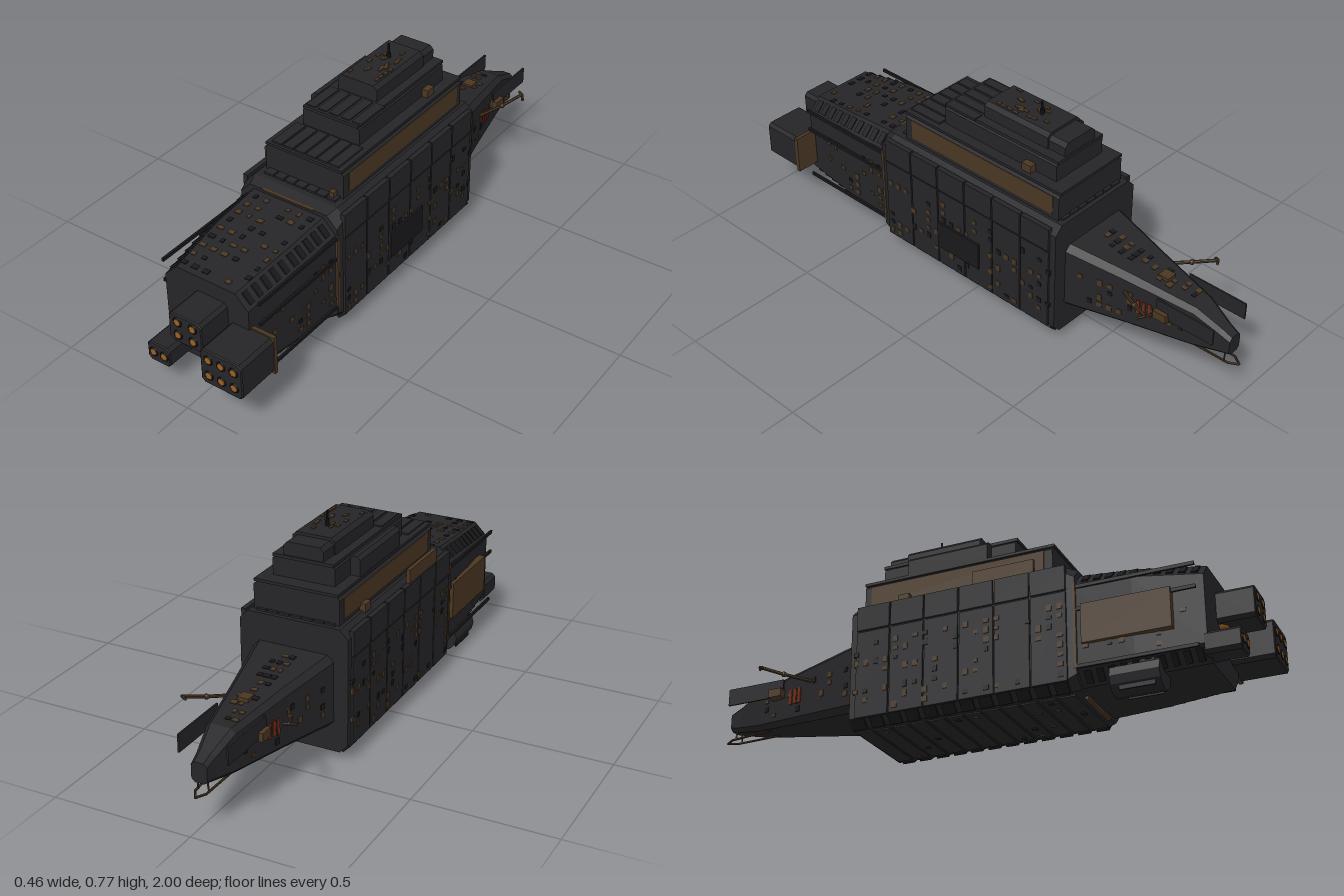
import * as THREE from 'three';
import { mergeGeometries } from 'three/addons/utils/BufferGeometryUtils.js';

const mat = (color) => new THREE.MeshStandardMaterial({ color, flatShading: true, side: THREE.DoubleSide });
const CX = -0.022; // hull centre line

// Small seeded generator for window placement
let seed = 7;
const rnd = () => (seed = (seed * 16807) % 2147483647) / 2147483647;

// Chamfered cross-sections [z, x0, x1, y0, y1, topChamfer, bottomChamfer], back to front
function loft(sections) {
  const rings = sections.map(([z, x0, x1, y0, y1, t, b = t]) => [
    [x1, y0 + b, z], [x1, y1 - t, z], [x1 - t, y1, z], [x0 + t, y1, z],
    [x0, y1 - t, z], [x0, y0 + b, z], [x0 + b, y0, z], [x1 - b, y0, z]]);
  const p = [];
  for (let i = 0; i + 1 < rings.length; i++) for (let j = 0; j < 8; j++) {
    const k = (j + 1) % 8, a = rings[i][j], b = rings[i][k], c = rings[i + 1][k], d = rings[i + 1][j];
    p.push(...a, ...b, ...c, ...a, ...c, ...d);
  }
  const r0 = rings[0], r1 = rings[rings.length - 1];
  for (let j = 1; j < 7; j++) {
    p.push(...r1[0], ...r1[j], ...r1[j + 1]);
    p.push(...r0[0], ...r0[j + 1], ...r0[j]);
  }
  const g = new THREE.BufferGeometry();
  g.setAttribute('position', new THREE.Float32BufferAttribute(p, 3));
  g.computeVertexNormals();
  return g;
}

// Interpolated cross-section at z
function at(sections, z) {
  let i = 0;
  while (i < sections.length - 2 && z > sections[i + 1][0]) i++;
  const a = sections[i], b = sections[i + 1], t = (z - a[0]) / (b[0] - a[0]);
  const s = a.map((v, n) => v + (b[n] - v) * t);
  const slope = a.map((v, n) => (b[n] - v) / (b[0] - a[0]));
  return { s, slope };
}

const block = (x0, x1, y0, y1, z0, z1) =>
  new THREE.BoxGeometry(x1 - x0, y1 - y0, z1 - z0).translate((x0 + x1) / 2, (y0 + y1) / 2, (z0 + z1) / 2);

// Box lying on a hull face: side -1 / 1 for the flanks, 0 for the top, 2 for the bottom
function onHull(sections, side, z, u, h, l, thick = 0.005) {
  const { s, slope } = at(sections, z);
  if (side === 0 || side === 2) {
    const n = side === 0 ? 4 : 3;
    return new THREE.BoxGeometry(h, thick, l).rotateX(-Math.atan(slope[n])).translate(u, s[n], z);
  }
  const n = side < 0 ? 1 : 2;
  return new THREE.BoxGeometry(thick, h, l).rotateY(Math.atan(slope[n])).translate(s[n], u, z);
}

function rod(a, b, r) {
  const A = new THREE.Vector3(...a), B = new THREE.Vector3(...b), d = B.clone().sub(A);
  const g = new THREE.CylinderGeometry(r, r, d.length(), 8);
  g.applyQuaternion(new THREE.Quaternion().setFromUnitVectors(new THREE.Vector3(0, 1, 0), d.normalize()));
  return g.translate(...A.add(B).multiplyScalar(0.5).toArray());
}

// Joins pieces into one geometry with matching attributes
function join(pieces) {
  return mergeGeometries(pieces.map((g) => (g.index ? g.toNonIndexed() : g).deleteAttribute('uv')));
}

export function createModel() {
  const ship = new THREE.Group();
  seed = 7;
  const hull = mat(0x252528), dark = mat(0x19191b), brown = mat(0x4a3723), amber = mat(0x9a6024), red = mat(0x6e2a16);
  const add = (name, geos, m) => {
    const mesh = new THREE.Mesh(Array.isArray(geos) ? join(geos) : geos, m);
    mesh.name = name;
    ship.add(mesh);
  };

  // Main hull sections
  const mid = [[-0.385, -0.22, 0.176, 0.032, 0.475, 0.03], [0.39, -0.22, 0.176, 0.032, 0.475, 0.03],
    [0.43, -0.217, 0.173, 0.04, 0.462, 0.04]];
  const bow = [[0.42, -0.212, 0.168, 0.05, 0.45, 0.05], [0.62, -0.208, 0.164, 0.058, 0.435, 0.05],
    [0.85, -0.188, 0.144, 0.07, 0.406, 0.05]];
  const tail = [[-0.97, -0.05, 0.006, 0.18, 0.25, 0.012], [-0.93, -0.055, 0.011, 0.17, 0.268, 0.014],
    [-0.84, -0.074, 0.03, 0.155, 0.312, 0.016], [-0.6, -0.122, 0.078, 0.137, 0.348, 0.02],
    [-0.38, -0.17, 0.126, 0.12, 0.378, 0.022]];
  add('midHull', loft(mid), hull);
  add('bowHull', loft(bow), hull);
  add('tailHull', loft(tail), hull);

  // Side armour plates, in rows with narrow gaps
  const plates = [];
  for (const side of [-1, 1]) {
    for (let i = 0; i < 6; i++) {
      const z = -0.3 + i * 0.128;
      plates.push(onHull(mid, side, z, 0.216, 0.312, 0.122, 0.014));
      plates.push(onHull(mid, side, z, 0.422, 0.088, 0.122, 0.018));
    }
  }
  add('sidePlates', plates, hull);
  add('sideHatch', block(0.176, 0.19, 0.135, 0.24, -0.05, 0.145), dark);

  // Deck planks on the top, panels and ribs along the lower edge
  const planks = [], ribs = [];
  for (let i = 0; i < 7; i++) planks.push(block(-0.165 + i * 0.042, -0.129 + i * 0.042, 0.47, 0.482, -0.37, 0.37));
  for (let i = 0; i < 12; i++) {
    const z = -0.35 + i * 0.066;
    planks.push(block(-0.17, 0.126, 0.028, 0.036, z - 0.028, z + 0.028));
    for (const s of [-1, 1])
      ribs.push(new THREE.BoxGeometry(0.04, 0.012, 0.045).rotateZ(s * Math.PI / 4).translate(CX + s * 0.184, 0.046, z));
  }
  for (let i = 0; i < 10; i++) {
    const z = 0.46 + i * 0.04, { s } = at(bow, z);
    for (const k of [-1, 1]) for (const top of [-1, 1]) {
      const x = (k < 0 ? s[1] : s[2]) - k * 0.025, y = (top < 0 ? s[3] : s[4]) - top * 0.025;
      ribs.push(new THREE.BoxGeometry(0.045, 0.01, 0.022).rotateZ(-k * top * Math.PI / 4).translate(x, y, z));
    }
  }
  add('deckPanels', planks, hull);
  add('chamferRibs', ribs, dark);
  add('frameTrim', [block(-0.125, 0.08, 0.459, 0.464, 0.42, 0.434), block(-0.125, 0.08, 0.03, 0.04, 0.42, 0.432),
    ...[-1, 1].map((s) => block(CX + s * 0.194 - 0.004, CX + s * 0.194 + 0.004, 0.1, 0.4, 0.422, 0.432))], brown);

  // Long side rails beside the bow
  add('sideRails', [-1, 1].flatMap((s) => [0.1, 0.3, 0.38].map((y) =>
    block(CX + s * 0.192 - 0.004, CX + s * 0.192 + 0.004, y, y + 0.012, 0.42, 0.83))), dark);

  // Stepped superstructure
  const tier = (x0, x1, y0, y1, z0, z1, c) => loft([[z0, x0, x1, y0, y1, c, 0.003], [z1, x0, x1, y0, y1, c, 0.003]]);
  add('lowerTier', [tier(-0.178, 0.136, 0.47, 0.58, -0.36, 0.34, 0.018), block(-0.174, 0.132, 0.574, 0.584, -0.365, 0.345)], hull);
  add('tierBands', [-1, 1].map((s) => block(CX + s * 0.156 - 0.004, CX + s * 0.156 + 0.004, 0.49, 0.562, -0.335, 0.31)), brown);
  add('middleTier', [tier(-0.135, 0.092, 0.58, 0.655, -0.31, 0.19, 0.012), tier(-0.17, -0.13, 0.58, 0.652, -0.2, 0.1, 0.012),
    block(-0.132, 0.089, 0.65, 0.661, -0.315, 0.195)], hull);
  add('upperTier', [tier(-0.1, 0.057, 0.655, 0.718, -0.24, 0.04, 0.014), tier(-0.095, 0.052, 0.655, 0.708, -0.31, -0.23, 0.014)], hull);
  const roof = [];
  for (let i = 0; i < 6; i++) {
    const x = -0.155 + i * 0.046;
    roof.push(block(x, x + 0.038, 0.58, 0.59, 0.2, 0.335));
    if (i < 5) roof.push(block(x + 0.03, x + 0.066, 0.656, 0.665, 0.05, 0.185));
  }
  add('roofPanels', roof, hull);
  add('roofBoxes', [block(0.09, 0.116, 0.58, 0.612, -0.22, -0.18), block(-0.2, -0.175, 0.47, 0.5, -0.22, -0.18),
    block(0.092, 0.11, 0.47, 0.5, 0.335, 0.36)], brown);
  const roofLights = [];
  for (let i = 0; i < 20; i++) {
    const x = -0.08 + rnd() * 0.115, z = -0.21 + rnd() * 0.22;
    roofLights.push(block(x, x + 0.01, 0.716, 0.7215, z, z + 0.02));
  }
  add('roofLights', roofLights, brown);
  add('mast', [rod([CX, 0.715, -0.145], [CX, 0.77, -0.145], 0.004), rod([CX, 0.715, -0.145], [CX, 0.735, -0.145], 0.008)], dark);

  // Large plates on the right flank
  add('flankPanels', [block(-0.225, -0.2, 0.18, 0.317, 0.45, 0.75), block(-0.224, -0.21, 0.42, 0.515, 0.07, 0.29)], brown);

  // Windows and hatches scattered over a grid on each hull face
  const windows = [], hatches = [];
  const scatter = (sec, side, z0, z1, u0, u1, dz, du, density, lift) => {
    for (let z = z0; z <= z1; z += dz) for (let u = u0; u <= u1; u += du) {
      const r = rnd();
      if (r < density) (r < density * 0.6 ? windows : hatches).push(
        onHull(sec, side, z, u, 0.012 + rnd() * 0.012, 0.014 + rnd() * 0.006, lift));
    }
  };
  for (const s of [-1, 1]) {
    scatter(mid, s, -0.36, 0.38, 0.085, 0.35, 0.037, 0.034, 0.4, 0.019);
    scatter(bow, s, 0.46, 0.82, 0.14, 0.34, 0.04, 0.034, 0.35, 0.006);
    scatter(tail, s, -0.8, -0.42, 0.19, 0.29, 0.036, 0.03, 0.4, 0.006);
  }
  scatter(bow, 0, 0.46, 0.83, -0.13, 0.09, 0.045, 0.044, 0.75, 0.006);
  scatter(tail, 0, -0.8, -0.42, -0.05, 0.01, 0.04, 0.026, 0.6, 0.006);
  scatter(mid, 2, -0.35, 0.38, -0.14, 0.1, 0.066, 0.06, 0.25, 0.012);
  add('windows', windows, brown);
  add('hatches', hatches, dark);

  // Engine blocks: [x0, x1, y0, y1, front z, columns, rows, pitch x, pitch y]
  const engines = [[-0.068, 0.062, 0.24, 0.35, 0.98, 2, 2, 0.06, 0.05],
    [0.068, 0.23, 0.15, 0.285, 1.0, 3, 2, 0.049, 0.061], [-0.19, -0.097, 0.084, 0.16, 0.96, 2, 1, 0.043, 0]];
  const cases = [], collars = [], nozzles = [];
  for (const [x0, x1, y0, y1, z, nx, ny, px, py] of engines) {
    cases.push(loft([[0.84, x0, x1, y0, y1, 0.012], [z - 0.006, x0, x1, y0, y1, 0.012],
      [z - 0.003, x0 + 0.004, x1 - 0.004, y0 + 0.004, y1 - 0.004, 0.01]]));
    for (let i = 0; i < nx; i++) for (let j = 0; j < ny; j++) {
      const x = (x0 + x1) / 2 + (i - (nx - 1) / 2) * px, y = (y0 + y1) / 2 + (j - (ny - 1) / 2) * py;
      collars.push(new THREE.TorusGeometry(0.015, 0.003, 6, 16).translate(x, y, z - 0.003));
      nozzles.push(new THREE.CylinderGeometry(0.012, 0.012, 0.006, 16).rotateX(Math.PI / 2).translate(x, y, z - 0.003));
    }
  }
  add('engineBlocks', cases, hull);
  add('nozzleCollars', collars, dark);
  add('nozzles', nozzles, amber);
  add('engineMount', block(0.1, 0.233, 0.146, 0.29, 0.828, 0.842), brown);
  add('bowLamp', new THREE.SphereGeometry(0.028, 16, 10).translate(CX, 0.25, 0.85), amber);

  // Slung tank under the bow
  add('tank', new THREE.CylinderGeometry(0.056, 0.056, 0.165, 12).rotateX(Math.PI / 2).translate(-0.153, 0.058, 0.615), hull);
  add('tankStruts', [-0.195, -0.11].map((x) => block(x - 0.002, x + 0.002, 0.01, 0.1, 0.56, 0.68)), dark);

  // Tail fins, folded arms and sensor boxes, mirrored about the centre line
  const fins = [], arms = [], boxes = [];
  for (const s of [-1, 1]) {
    const X = (d) => CX + s * d;
    fins.push(block(X(0.086) - 0.003, X(0.086) + 0.003, 0.25, 0.312, -0.945, -0.72));
    arms.push(rod([X(0.1), 0.28, -0.6], [X(0.15), 0.3, -0.68], 0.006), rod([X(0.15), 0.3, -0.68], [X(0.19), 0.325, -0.755], 0.006),
      rod([X(0.19), 0.325, -0.755], [X(0.172), 0.325, -0.765], 0.005), rod([X(0.19), 0.325, -0.755], [X(0.205), 0.315, -0.735], 0.005),
      new THREE.SphereGeometry(0.01, 8, 6).translate(X(0.15), 0.3, -0.68));
    boxes.push(block(X(0.085) - 0.02, X(0.085) + 0.02, 0.245, 0.275, -0.77, -0.72));
  }
  add('tailFins', fins, hull);
  add('foldingArms', arms, brown);
  add('sensorBoxes', [...boxes, block(CX - 0.02, CX + 0.02, 0.325, 0.345, -0.71, -0.67)], brown);
  add('warningStripes', [-1, 1].flatMap((s) => [0, 1, 2].map((i) =>
    onHull(tail, s, -0.65 - i * 0.02, 0.24, 0.055, 0.012, 0.007))), red);

  // Probe frame below the tail tip
  add('probeFrame', [-1, 1].flatMap((s) => [rod([CX + s * 0.03, 0.155, -0.76], [CX + s * 0.02, 0.146, -0.965], 0.004),
    rod([CX + s * 0.02, 0.146, -0.965], [CX, 0.144, -0.997], 0.004), rod([CX + s * 0.02, 0.146, -0.95], [CX + s * 0.015, 0.185, -0.95], 0.003)]), brown);
  return ship;
}
